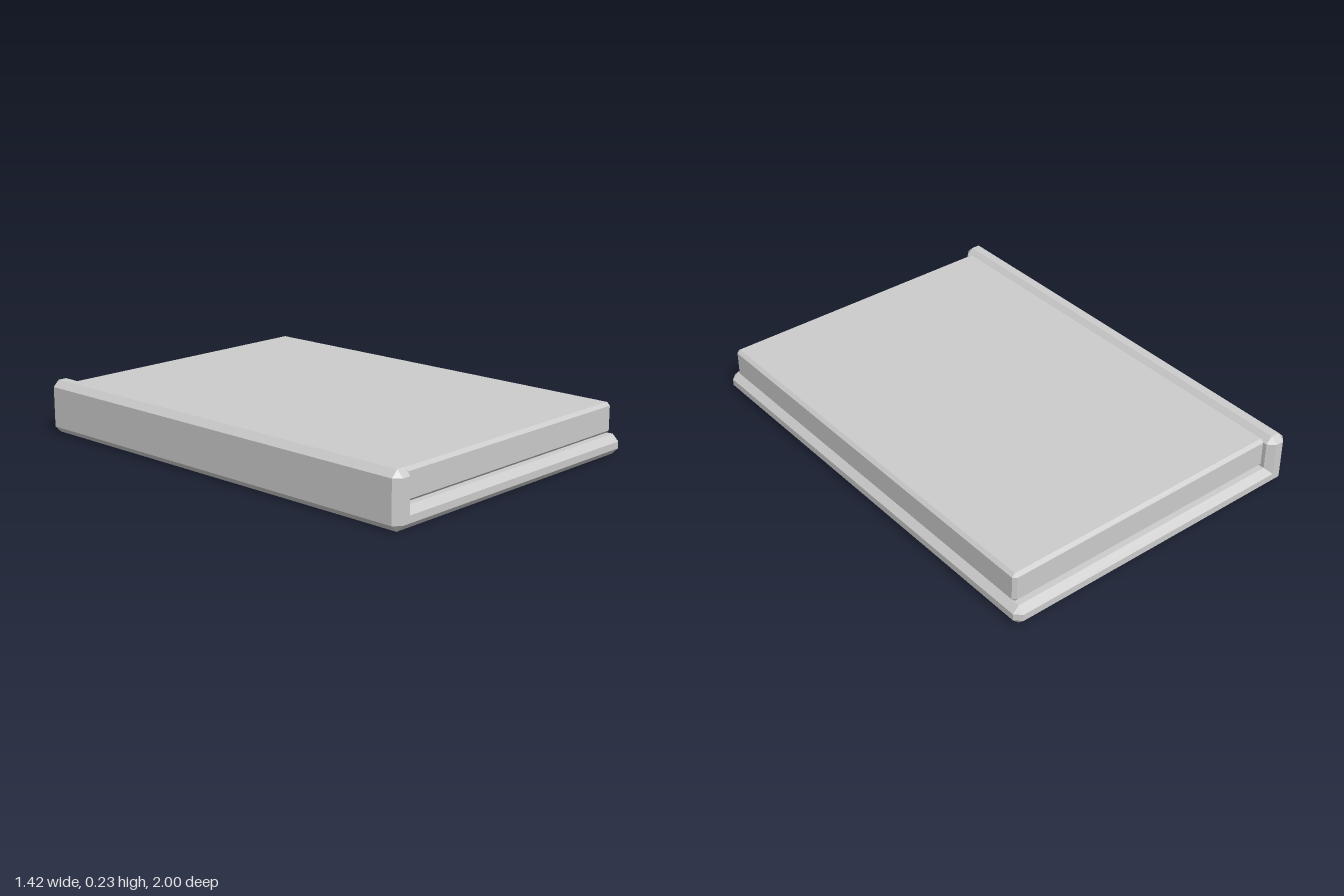
import * as THREE from 'three';

// Bar along z from a counter-clockwise core outline: the outline is grown by
// `bevel` with flat chamfers on every convex edge, and tapers back at both ends.
function chamferedBar(core, bevel, halfLength) {
  const points = core.map(([x, y]) => new THREE.Vector2(x, y));
  const n = points.length;
  const inner = [], outer = [];
  points.forEach((p, i) => {
    const d1 = p.clone().sub(points[(i + n - 1) % n]).normalize();
    const d2 = points[(i + 1) % n].clone().sub(p).normalize();
    const n1 = new THREE.Vector2(d1.y, -d1.x).multiplyScalar(bevel);
    const n2 = new THREE.Vector2(d2.y, -d2.x).multiplyScalar(bevel);
    if (d1.cross(d2) > 0) {
      inner.push(p, p);
      outer.push(p.clone().add(n1), p.clone().add(n2));
    } else {
      inner.push(p);
      outer.push(p.clone().add(n1).add(n2));
    }
  });

  const positions = [];
  const addTriangle = (a, b, c) => {
    if (new THREE.Triangle(a, b, c).getArea() < 1e-9) return;
    for (const v of [a, b, c]) positions.push(v.x, v.y, v.z);
  };
  const ring = (outline, z) => outline.map((p) => new THREE.Vector3(p.x, p.y, z));
  const rings = [
    ring(inner, -halfLength),
    ring(outer, -halfLength + bevel),
    ring(outer, halfLength - bevel),
    ring(inner, halfLength),
  ];

  // Sides and end chamfers
  for (let r = 0; r < rings.length - 1; r++) {
    const back = rings[r], front = rings[r + 1];
    for (let i = 0; i < back.length; i++) {
      const j = (i + 1) % back.length;
      addTriangle(back[i], back[j], front[j]);
      addTriangle(back[i], front[j], front[i]);
    }
  }

  // Flat ends
  const backCap = ring(points, -halfLength), frontCap = ring(points, halfLength);
  for (const [a, b, c] of THREE.ShapeUtils.triangulateShape(points, [])) {
    addTriangle(frontCap[a], frontCap[b], frontCap[c]);
    addTriangle(backCap[c], backCap[b], backCap[a]);
  }

  const geometry = new THREE.BufferGeometry();
  geometry.setAttribute('position', new THREE.Float32BufferAttribute(positions, 3));
  geometry.computeVertexNormals();
  return geometry;
}

export function createModel() {
  const group = new THREE.Group();
  group.name = 'openBook';

  const lightGrey = new THREE.MeshStandardMaterial({ color: 0xcccccc });
  lightGrey.name = 'lightGrey';

  const add = (name, geometry) => {
    const mesh = new THREE.Mesh(geometry, lightGrey);
    mesh.name = name;
    group.add(mesh);
  };

  // Back board and spine in one L-shaped piece
  add('coverAndSpine', chamferedBar([
    [-0.682, 0.028], [0.682, 0.028], [0.682, 0.058],
    [-0.643, 0.058], [-0.643, 0.205], [-0.682, 0.205],
  ], 0.028, 1));

  // Block of pages resting on the board, tucked into the spine
  add('pageBlock', chamferedBar([
    [-0.614, 0.098], [0.676, 0.098], [0.676, 0.204], [-0.614, 0.204],
  ], 0.014, 0.955));

  return group;
}
